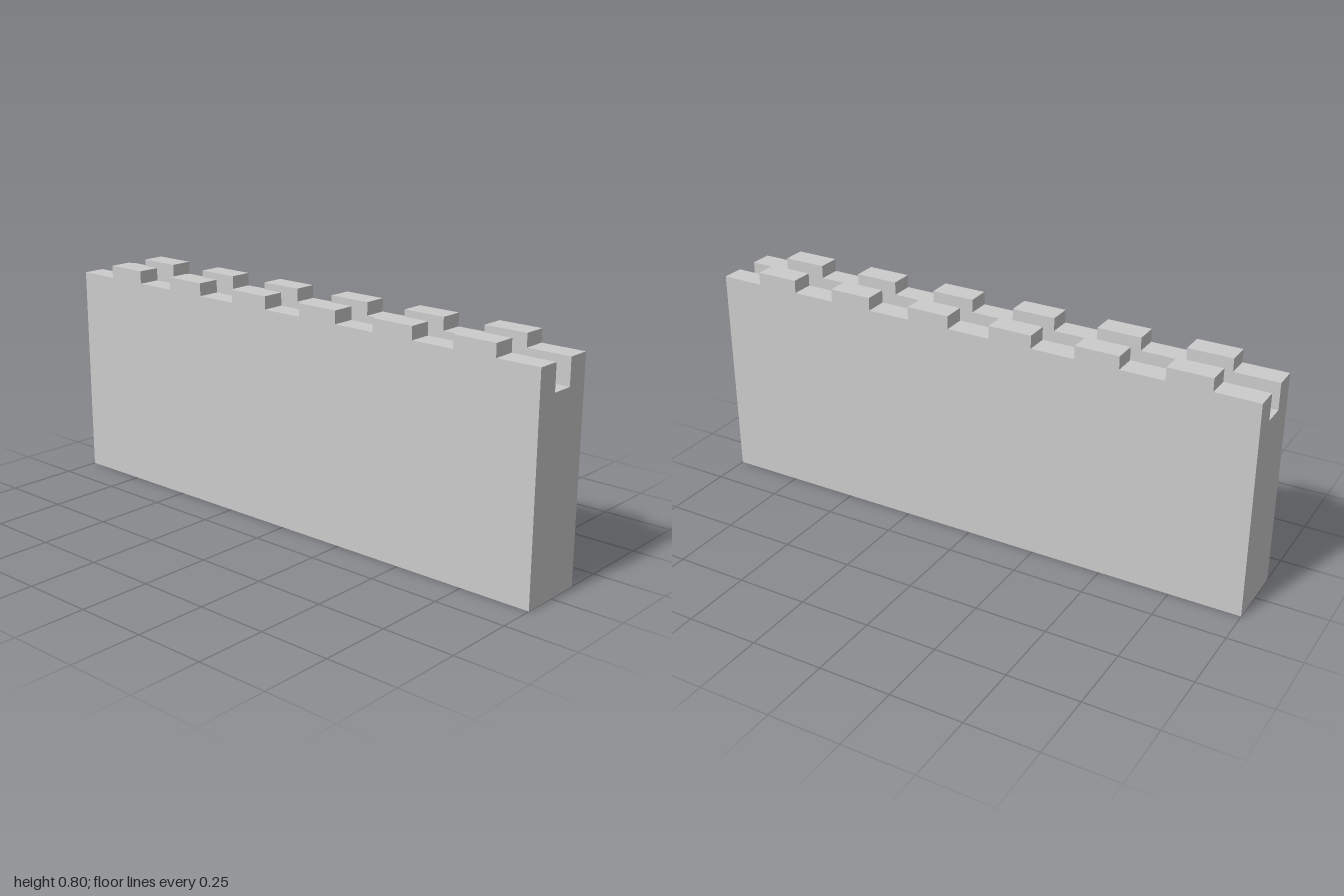
import * as THREE from 'three';

const LENGTH = 2, HALF_WIDTH = 0.12, HALF_WALK = 0.04;
const WALK_Y = 0.663, PARAPET_Y = 0.755, TOP_Y = 0.8;
const SEGMENTS = 13; // alternating gaps and merlons, starting and ending with a gap

export function createModel() {
  const group = new THREE.Group();
  group.name = 'castleWall';
  const material = new THREE.MeshStandardMaterial({ color: 0xcccccc, flatShading: true });

  // Wall body: U-shaped section with a sunken walkway, run along z
  const section = new THREE.Shape([
    [-HALF_WIDTH, 0], [HALF_WIDTH, 0],
    [HALF_WIDTH, PARAPET_Y], [HALF_WALK, PARAPET_Y],
    [HALF_WALK, WALK_Y], [-HALF_WALK, WALK_Y],
    [-HALF_WALK, PARAPET_Y], [-HALF_WIDTH, PARAPET_Y],
  ].map(([x, y]) => new THREE.Vector2(x, y)));
  const bodyGeometry = new THREE.ExtrudeGeometry(section, { depth: LENGTH, bevelEnabled: false });
  bodyGeometry.translate(0, 0, -LENGTH / 2);
  const body = new THREE.Mesh(bodyGeometry, material);
  body.name = 'wallBody';
  group.add(body);

  // Merlons: a row of blocks on each parapet
  const step = LENGTH / SEGMENTS;
  const merlonGeometry = new THREE.BoxGeometry(HALF_WIDTH - HALF_WALK, TOP_Y - PARAPET_Y, step);
  for (const [side, name] of [[1, 'leftMerlons'], [-1, 'rightMerlons']]) {
    const row = new THREE.Group();
    row.name = name;
    for (let i = 1; i < SEGMENTS; i += 2) {
      const merlon = new THREE.Mesh(merlonGeometry, material);
      merlon.name = 'merlon';
      merlon.position.set(
        side * (HALF_WIDTH + HALF_WALK) / 2,
        (TOP_Y + PARAPET_Y) / 2,
        -LENGTH / 2 + (i + 0.5) * step,
      );
      row.add(merlon);
    }
    group.add(row);
  }
  return group;
}
